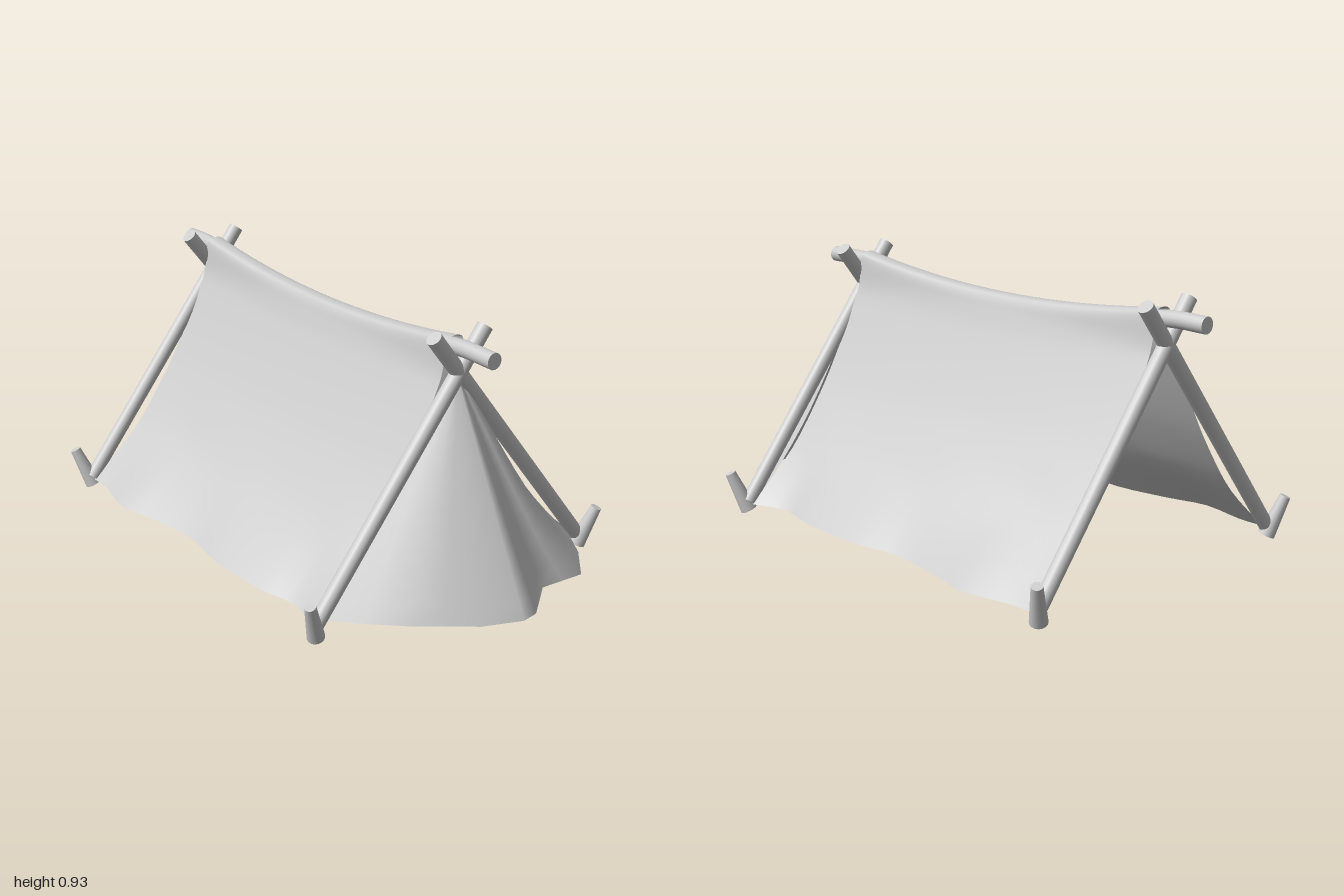
import * as THREE from 'three';

const wood = new THREE.MeshStandardMaterial({ color: 0xcccccc });
const cloth = new THREE.MeshStandardMaterial({ color: 0xcccccc, side: THREE.DoubleSide });
const V = (x, y, z) => new THREE.Vector3(x, y, z);
const spline = points => new THREE.SplineCurve(points.map(p => new THREE.Vector2(...p)));

// Round stick between two points, with its own radius at each end
function stick(name, a, b, ra, rb) {
  const mesh = new THREE.Mesh(new THREE.CylinderGeometry(rb, ra, a.distanceTo(b), 16), wood);
  mesh.position.copy(a).lerp(b, 0.5);
  mesh.quaternion.setFromUnitVectors(V(0, 1, 0), b.clone().sub(a).normalize());
  mesh.name = name;
  return mesh;
}

// Smooth cloth sheet: fn(u, v) gives the point at row u and column v, both 0..1
function sheet(name, rows, cols, fn) {
  const pos = [], index = [];
  for (let i = 0; i <= rows; i++) {
    for (let j = 0; j <= cols; j++) pos.push(...fn(i / rows, j / cols).toArray());
  }
  for (let i = 0; i < rows; i++) {
    for (let j = 0; j < cols; j++) {
      const a = i * (cols + 1) + j, b = a + cols + 1;
      index.push(a, b, a + 1, b, b + 1, a + 1);
    }
  }
  const geo = new THREE.BufferGeometry();
  geo.setAttribute('position', new THREE.Float32BufferAttribute(pos, 3));
  geo.setIndex(index);
  geo.computeVertexNormals();
  const mesh = new THREE.Mesh(geo, cloth);
  mesh.name = name;
  return mesh;
}

const FRONT = 0.612, BACK = -0.842;
const ridgeTop = z => 0.838 + 0.054 * Math.pow((z + 0.12) / 0.7, 2);

// Wavy lower hem of the side panels, as (z, half width)
const hem = spline([
  [-0.825, 0.57], [-0.72, 0.572], [-0.55, 0.605], [-0.4, 0.572], [-0.18, 0.54],
  [0.03, 0.567], [0.28, 0.557], [0.45, 0.523], [0.59, 0.567],
]);

// Main cloth: draped over the ridge, then hanging in a slack curve to the hem on both sides
function canvas() {
  return sheet('canvas', 24, 64, (u, v) => {
    const { x: z, y: half } = hem.getPoint(u);
    const top = ridgeTop(z), s = v * 2 - 1;
    const profile = spline([
      [0, top], [0.022, top - 0.004], [0.036, top - 0.025], [0.05, 0.775], [0.08, 0.7],
      [0.155, 0.55], [0.245, 0.395], [0.38, 0.21], [half, 0.037],
    ]);
    const p = profile.getPoint(Math.abs(s));
    return V(Math.sign(s) * p.x, p.y, z);
  });
}

// Front flap: fans out from the crossing of the front poles to a curved hem
function frontFlap() {
  const bottom = [
    [-0.55, 0.055, 0.585], [-0.45, 0.063, 0.71], [-0.35, 0.07, 0.82], [-0.25, 0.066, 0.885],
    [-0.16, 0.06, 0.94], [-0.03, 0.063, 0.995], [0.03, 0.065, 0.985], [0.16, 0.07, 0.875],
    [0.25, 0.066, 0.873], [0.34, 0.06, 0.868], [0.45, 0.058, 0.74], [0.54, 0.053, 0.59],
  ].map(p => V(...p));
  const n = bottom.length - 1;
  return sheet('frontFlap', 12, n, (u, v) => {
    const p = V((v - 0.5) * 0.02, 0.755, FRONT).lerp(bottom[Math.round(v * n)], u);
    // Slack in the left edge
    p.x -= 0.04 * Math.sin(Math.PI * Math.pow(u, 1.5)) * Math.max(0, v - 0.6) / 0.4;
    return p;
  });
}

export function createModel() {
  const tent = new THREE.Group();
  tent.name = 'tent';

  // Crossed poles and ground pegs at each end
  for (const [end, z, out] of [['front', FRONT, 1], ['back', BACK, -1]]) {
    for (const [side, s] of [['Left', 1], ['Right', -1]]) {
      tent.add(stick(end + side + 'Pole', V(s * 0.568, 0.042, z), V(-s * 0.105, 0.91, z), 0.026, 0.027));
      tent.add(stick(end + side + 'Peg', V(s * 0.564, 0.012, z + out * 0.004),
        V(s * 0.612, 0.15, z + out * 0.042), 0.03, 0.019));
    }
  }

  // Ridge pole, sagging under the cloth, with straight ends
  const path = [V(0, 0.86, -1), V(0, 0.86, -0.87)];
  for (let z = -0.7; z < 0.55; z += 0.2) path.push(V(0, ridgeTop(z) - 0.036, z));
  path.push(V(0, 0.86, 0.62), V(0, 0.86, 0.78));
  const ridge = new THREE.Mesh(
    new THREE.TubeGeometry(new THREE.CatmullRomCurve3(path), 48, 0.028, 16), wood);
  ridge.name = 'ridgePole';
  tent.add(ridge);
  for (const [z, turn] of [[0.78, 0], [-1, Math.PI]]) {
    const cap = new THREE.Mesh(new THREE.CircleGeometry(0.028, 16), wood);
    cap.name = 'ridgePoleEnd';
    cap.position.set(0, 0.86, z);
    cap.rotation.y = turn;
    tent.add(cap);
  }

  tent.add(canvas(), frontFlap());
  return tent;
}
